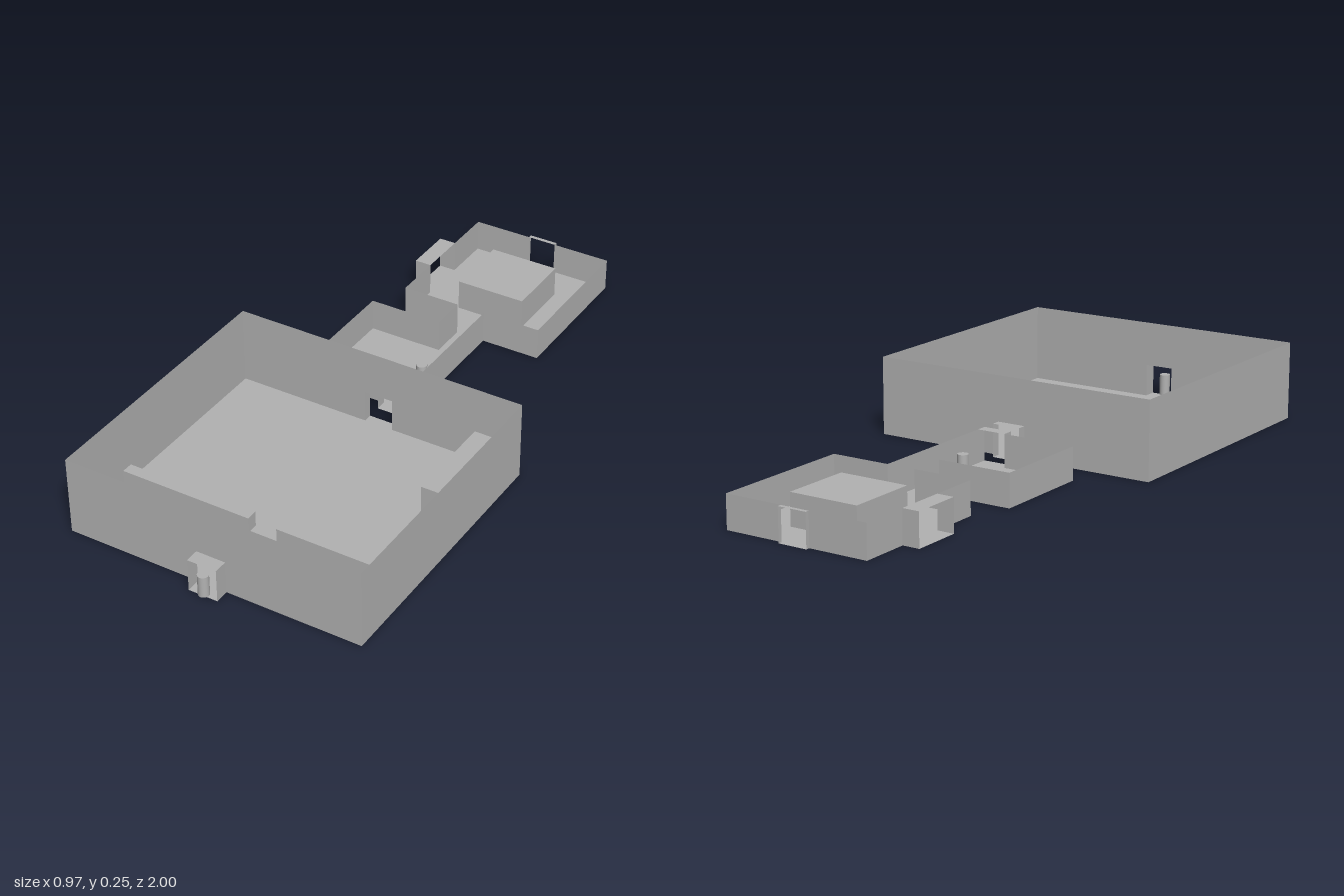
import * as THREE from 'three';

export function createModel() {
  const group = new THREE.Group();
  group.name = 'dungeonLevel';
  const stone = new THREE.MeshStandardMaterial({ color: 0xb2b2b2, side: THREE.DoubleSide });
  stone.name = 'grey stone';

  const D = 0.0475;            // half width of doorways
  const LOW = 0.105;           // height of doorways and low walls
  const W = 0.4825, HIGH = 0.25, BACK = 0.057, FRONT = 0.943; // hall

  const add = (name, geometry, x = 0, y = 0, z = 0) => {
    const mesh = new THREE.Mesh(geometry, stone);
    mesh.name = name;
    mesh.position.set(x, y, z);
    group.add(mesh);
    return mesh;
  };
  const shapeOf = pts => new THREE.Shape(pts.map(([a, b]) => new THREE.Vector2(a, b)));

  // Horizontal sheet from an outline of [x, z] points
  const sheet = (name, pts, y = 0, hole) => {
    const shape = shapeOf(pts);
    if (hole) shape.holes.push(shapeOf(hole));
    return add(name, new THREE.ShapeGeometry(shape).rotateX(Math.PI / 2), 0, y, 0);
  };
  const rect = (x0, x1, z0, z1) => [[x0, z0], [x1, z0], [x1, z1], [x0, z1]];

  // Upright thin wall between two [x, z] points, with an optional doorway in its middle
  const wall = (name, [x0, z0], [x1, z1], h, door = false) => {
    const len = Math.hypot(x1 - x0, z1 - z0), m = len / 2;
    const notch = door ? [[m + D, 0], [m + D, LOW], [m - D, LOW], [m - D, 0]] : [];
    const geo = new THREE.ShapeGeometry(shapeOf([[0, 0], [0, h], [len, h], [len, 0], ...notch]));
    add(name, geo, x0, 0, z0).rotation.y = -Math.atan2(z1 - z0, x1 - x0);
  };

  // Raised block, hollow and open underneath
  const block = (name, x0, x1, z0, z1, h) => {
    const geo = new THREE.BoxGeometry(x1 - x0, h, z1 - z0);
    const index = Array.from(geo.index.array);
    index.splice(18, 6);
    geo.setIndex(index);
    geo.clearGroups();
    add(name, geo, (x0 + x1) / 2, h / 2, (z0 + z1) / 2);
  };

  // Hall floor, notched under the blocks, with a right and a mirrored left half
  const hallFloor = [
    [-W, BACK], [-D, BACK], [-D, 0.028], [D, 0.028], [D, BACK], [0.33, BACK], [0.33, 0.37], [W, 0.37],
    [W, 0.655], [D, 0.655], [D, 0.692], [W, 0.692], [W, FRONT], [D, FRONT], [D, 0.988],
    [-D, 0.988], [-D, FRONT], [-W, FRONT], [-W, 0.692], [-D, 0.692], [-D, 0.655], [-W, 0.655],
  ];
  sheet('hallFloor', hallFloor);

  // Hall walls
  wall('hallFrontWall', [-W, FRONT], [W, FRONT], HIGH, true);
  wall('hallBackWall', [-W, BACK], [W, BACK], HIGH, true);
  for (const s of [-1, 1]) {
    wall('hallSideWall', [s * W, BACK], [s * W, FRONT], HIGH);
    wall('frontPorchSide', [s * D, FRONT], [s * D, 0.988], LOW);
    wall('backPorchSide', [s * D, 0.028], [s * D, BACK], LOW);
  }
  sheet('frontPorchRoof', rect(-D, D, FRONT, 0.988), LOW);
  sheet('backPorchRoof', rect(-D, D, 0.028, BACK), LOW);

  // Hall blocks
  block('leftPartition', D, W, 0.655, 0.692, 0.05);
  block('rightPartition', -W, -D, 0.655, 0.692, 0.05);
  block('cornerPlatform', 0.33, W, BACK, 0.37, 0.1);

  // Rear rooms: side room, corridor and square chamber in one outline
  const rear = [
    [-D, -0.017], [D, -0.017], [D, -0.507], [0.24, -0.507], [0.24, -0.987], [D, -0.987], [D, -1],
    [-D, -1], [-D, -0.987], [-0.24, -0.987], [-0.24, -0.828], [-0.295, -0.828], [-0.295, -0.667],
    [-0.24, -0.667], [-0.24, -0.507], [-D, -0.507], [-D, -0.388], [-0.29, -0.388], [-0.29, -0.052],
    [-D, -0.052],
  ];
  const openEnds = [0, 6, 11];
  sheet('rearFloor', rear, 0, rect(-0.115, 0.115, -0.865, -0.635));
  rear.forEach((p, i) => {
    if (!openEnds.includes(i)) wall('rearWall', p, rear[(i + 1) % rear.length], LOW);
  });
  sheet('rearEntranceRoof', rect(-D, D, -0.052, -0.017), LOW);
  sheet('rearExitRoof', rect(-D, D, -1, -0.987), LOW);
  sheet('sideExitRoof', rect(-0.295, -0.24, -0.828, -0.667), LOW);
  block('chamberPlatform', -0.115, 0.115, -0.865, -0.635, 0.1);

  // Marker posts
  for (const z of [0.983, -0.2]) {
    add('post', new THREE.CylinderGeometry(0.017, 0.017, 0.068, 24), 0, 0.037, z);
  }
  return group;
}
